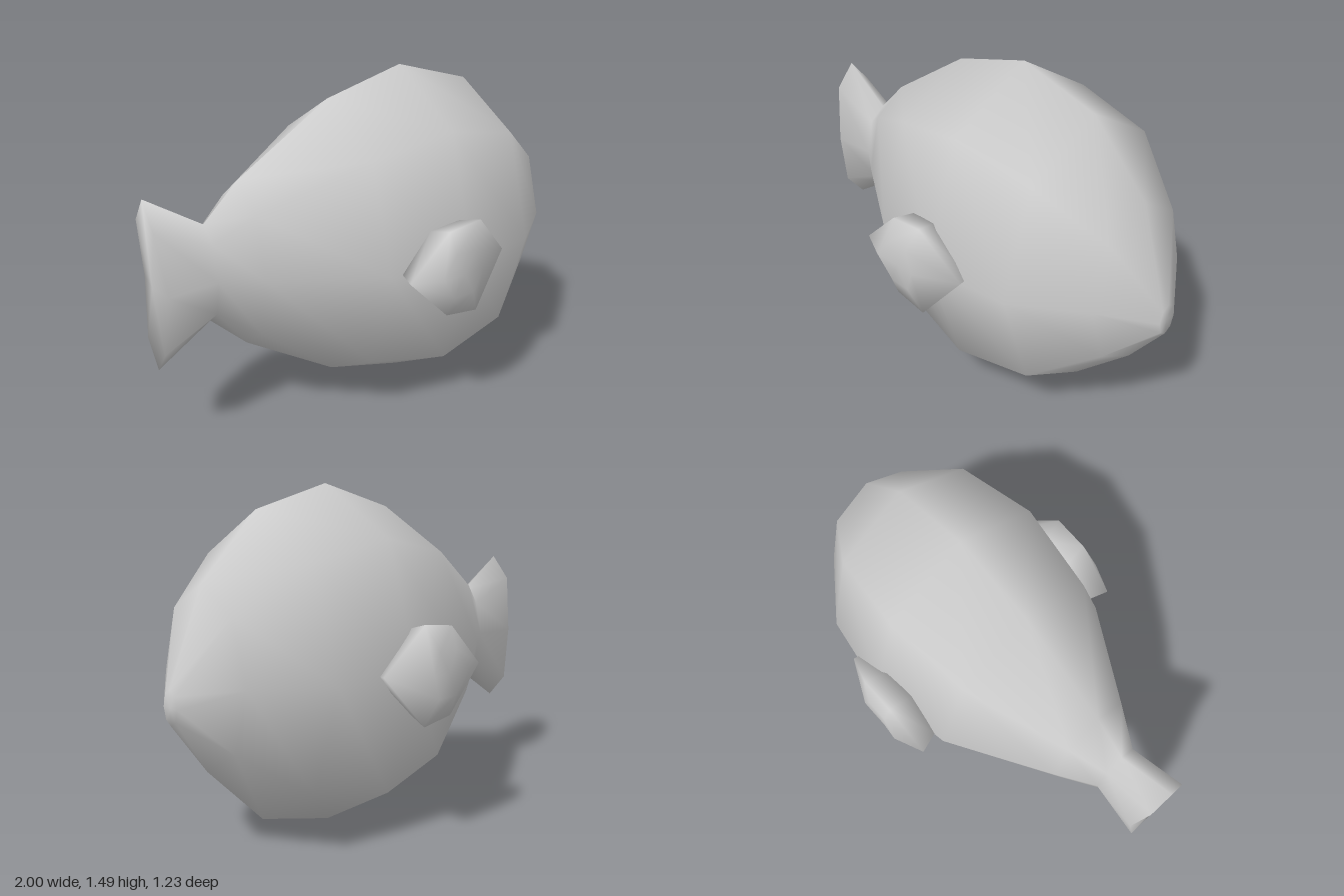
import * as THREE from 'three';

// Smooth skin over rings of [x, y, z] points, with both ends capped.
// Rings run counter-clockwise about the direction of travel.
function loft(rings) {
  const n = rings[0].length;
  const points = rings.flat();
  const index = [];
  for (let i = 0; i < rings.length - 1; i++) {
    for (let j = 0; j < n; j++) {
      const k = (j + 1) % n;
      const a = i * n + j, b = i * n + k, c = b + n, d = a + n;
      index.push(a, b, c, a, c, d);
    }
  }
  const centre = (ring) => [0, 1, 2].map((c) => ring.reduce((s, p) => s + p[c], 0) / n);
  const last = (rings.length - 1) * n;
  const start = points.length, end = start + 1;
  points.push(centre(rings[0]), centre(rings[rings.length - 1]));
  for (let j = 0; j < n; j++) {
    const k = (j + 1) % n;
    index.push(start, k, j, end, last + j, last + k);
  }
  const geometry = new THREE.BufferGeometry();
  geometry.setAttribute('position', new THREE.Float32BufferAttribute(points.flat(), 3));
  geometry.setIndex(index);
  geometry.computeVertexNormals();
  return geometry;
}

export function createModel() {
  const model = new THREE.Group();
  model.name = 'fish';
  const material = new THREE.MeshStandardMaterial({ color: 0xcccccc });

  // Body and flared tail: octagonal sections as [x, centre y, half height, half depth]
  const sections = [
    [-1, 0.745, 0.37, 0.125],
    [-0.76, 0.745, 0.215, 0.108],
    [-0.6, 0.745, 0.37, 0.21],
    [-0.17, 0.745, 0.642, 0.465],
    [0.2, 0.745, 0.743, 0.525],
    [0.57, 0.745, 0.642, 0.465],
    [0.84, 0.745, 0.37, 0.265],
    [0.995, 0.66, 0.07, 0.045],
  ];
  const bodyRings = sections.map(([x, y, h, d], i) =>
    Array.from({ length: 8 }, (_, j) => {
      const a = (j * Math.PI) / 4;
      // The sides of the tail end sit slightly forward
      const shift = i === 0 && j % 4 === 2 ? 0.025 : 0;
      return [x + shift, y + h * Math.cos(a), d * Math.sin(a)];
    }));
  const body = new THREE.Mesh(loft(bodyRings), material);
  body.name = 'bodyAndTail';
  model.add(body);

  // Side fin: root, wide rim and domed face
  const finRings = [
    [[-0.12, 0.75, 0.47], [0.03, 0.59, 0.455], [0.17, 0.57, 0.46],
      [0.37, 0.76, 0.45], [0.17, 0.92, 0.46], [0.03, 0.9, 0.455]],
    [[-0.15, 0.75, 0.56], [0.04, 0.56, 0.565], [0.2, 0.54, 0.565],
      [0.38, 0.76, 0.515], [0.2, 0.95, 0.565], [0.04, 0.93, 0.565]],
    [[-0.02, 0.75, 0.615], [0.05, 0.65, 0.6], [0.15, 0.65, 0.6],
      [0.19, 0.75, 0.607], [0.15, 0.84, 0.6], [0.05, 0.84, 0.6]],
  ];
  const mirrored = finRings.map((r) => r.map(([x, y, z]) => [x, y, -z]).reverse());
  for (const [name, rings] of [['frontFin', finRings], ['backFin', mirrored]]) {
    const fin = new THREE.Mesh(loft(rings), material);
    fin.name = name;
    model.add(fin);
  }
  return model;
}
